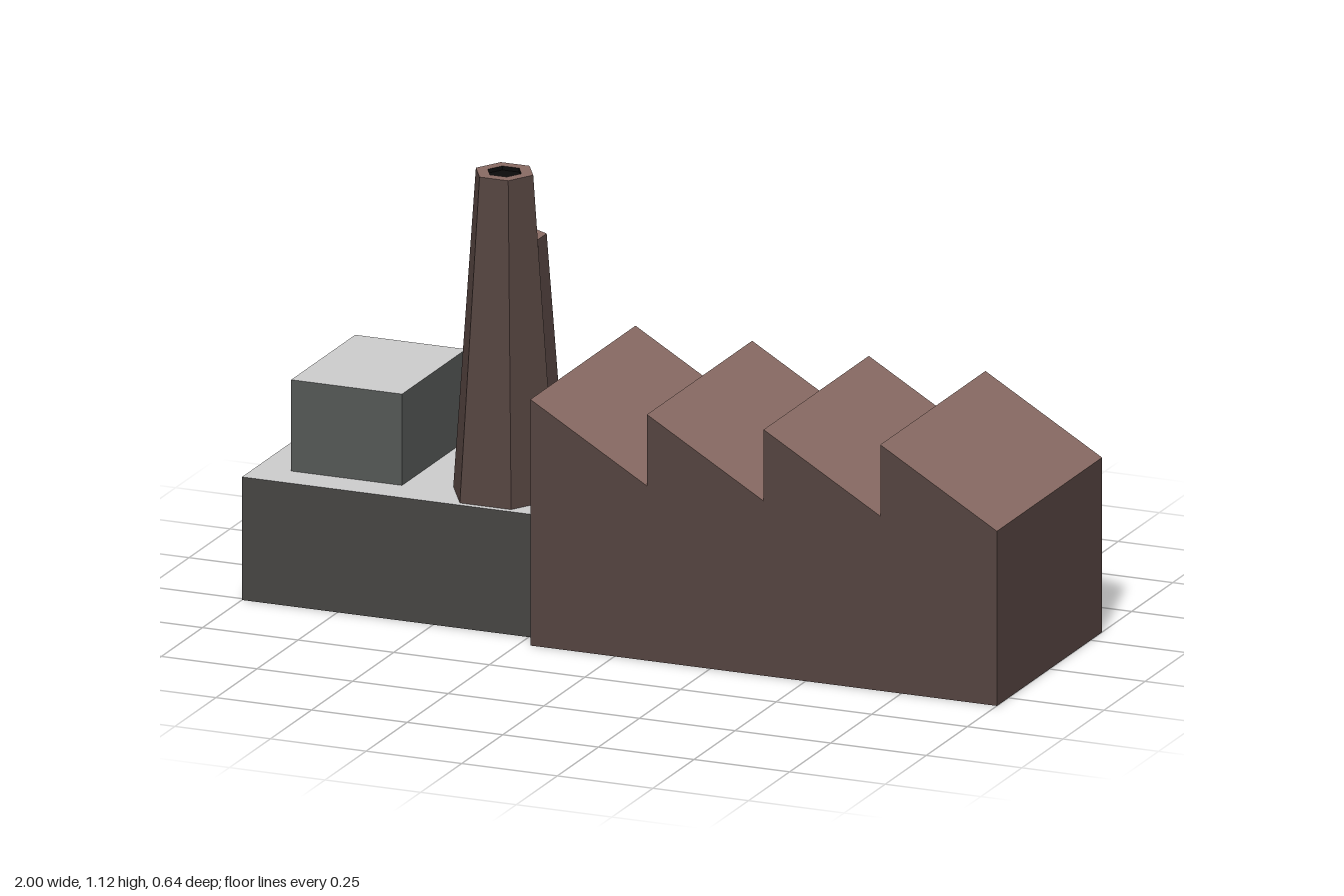
import * as THREE from 'three';
import { mergeGeometries } from 'three/addons/utils/BufferGeometryUtils.js';

const material = (color) =>
  new THREE.MeshStandardMaterial({ color, flatShading: true, side: THREE.DoubleSide });
const brick = material(0x54433f);
const roofTile = material(0x886a63);
const darkConcrete = material(0x454442);
const greyConcrete = material(0x545755);
const lightConcrete = material(0xcccccc);
const soot = material(0x0a0a0a);

// One flat panel: the profile edge from p to q, swept from zBack to zFront
function panel([x0, y0], [x1, y1], zBack, zFront) {
  const a = [x0, y0, zFront], b = [x1, y1, zFront], c = [x1, y1, zBack], d = [x0, y0, zBack];
  const geometry = new THREE.BufferGeometry();
  geometry.setAttribute('position', new THREE.Float32BufferAttribute([a, b, c, a, c, d].flat(), 3));
  geometry.computeVertexNormals();
  return geometry;
}

// Hollow building, open underneath: the profile runs from bottom left over the roof to bottom right
function shell(name, profile, zBack, zFront, wallMaterial, roofMaterial) {
  const shape = new THREE.Shape(profile.map(([x, y]) => new THREE.Vector2(x, y)));
  const walls = [zBack, zFront].map((z) => {
    const wall = new THREE.ShapeGeometry(shape).toNonIndexed().translate(0, 0, z);
    wall.deleteAttribute('uv');
    return wall;
  });
  const roof = [];
  for (let i = 0; i < profile.length - 1; i++) {
    const upright = profile[i][0] === profile[i + 1][0];
    (upright ? walls : roof).push(panel(profile[i], profile[i + 1], zBack, zFront));
  }
  const wallMesh = new THREE.Mesh(mergeGeometries(walls), wallMaterial);
  wallMesh.name = name + 'Walls';
  const roofMesh = new THREE.Mesh(mergeGeometries(roof), roofMaterial);
  roofMesh.name = name + 'Roof';
  const group = new THREE.Group();
  group.name = name;
  group.add(wallMesh, roofMesh);
  return group;
}

const boxProfile = (x0, x1, y0, y1) => [[x0, y0], [x0, y1], [x1, y1], [x1, y0]];

// Tapered six-sided chimney with a flat rim and a dark flue
function chimney(name, x, z, top, rBase, rTop, rFlue, turn) {
  const group = new THREE.Group();
  group.name = name;
  const base = 0.31, floor = top - 0.01;
  const ring = (part, points, mat) => {
    const profile = points.map(([r, y]) => new THREE.Vector2(r, y));
    const mesh = new THREE.Mesh(new THREE.LatheGeometry(profile, 6), mat);
    mesh.name = part;
    group.add(mesh);
  };
  ring('chimneyStack', [[rBase, base], [rTop, top]], brick);
  ring('chimneyRim', [[rTop, top], [rFlue, top]], roofTile);
  ring('chimneyFlue', [[rFlue, top], [rFlue, floor], [0, floor]], soot);
  group.position.set(x, 0, z);
  group.rotation.y = turn;
  return group;
}

export function createModel() {
  const model = new THREE.Group();
  model.name = 'factory';

  // Production hall with a sawtooth roof
  const left = -0.22, teeth = 4, pitch = (1 - left) / teeth;
  const profile = [[left, 0]];
  for (let i = 0; i < teeth; i++) {
    const x0 = left + i * pitch, x1 = left + (i + 1) * pitch;
    profile.push([x0, 0.62], [x1, 0.44]);
  }
  profile.push([1, 0]);
  model.add(shell('sawtoothHall', profile, -0.32, 0.32, brick, roofTile));

  // Low annex and its roof block
  model.add(shell('annex', boxProfile(-1, left - 0.001, 0, 0.31), -0.265, 0.26, darkConcrete, lightConcrete));
  model.add(shell('roofBlock', boxProfile(-0.91, -0.62, 0.31, 0.54), -0.22, 0.17, greyConcrete, lightConcrete));

  // Chimneys
  model.add(chimney('tallChimney', -0.37, 0.128, 1.12, 0.134, 0.075, 0.044, Math.PI / 6));
  model.add(chimney('shortChimney', -0.425, -0.123, 0.882, 0.096, 0.053, 0.03, 0));

  return model;
}
